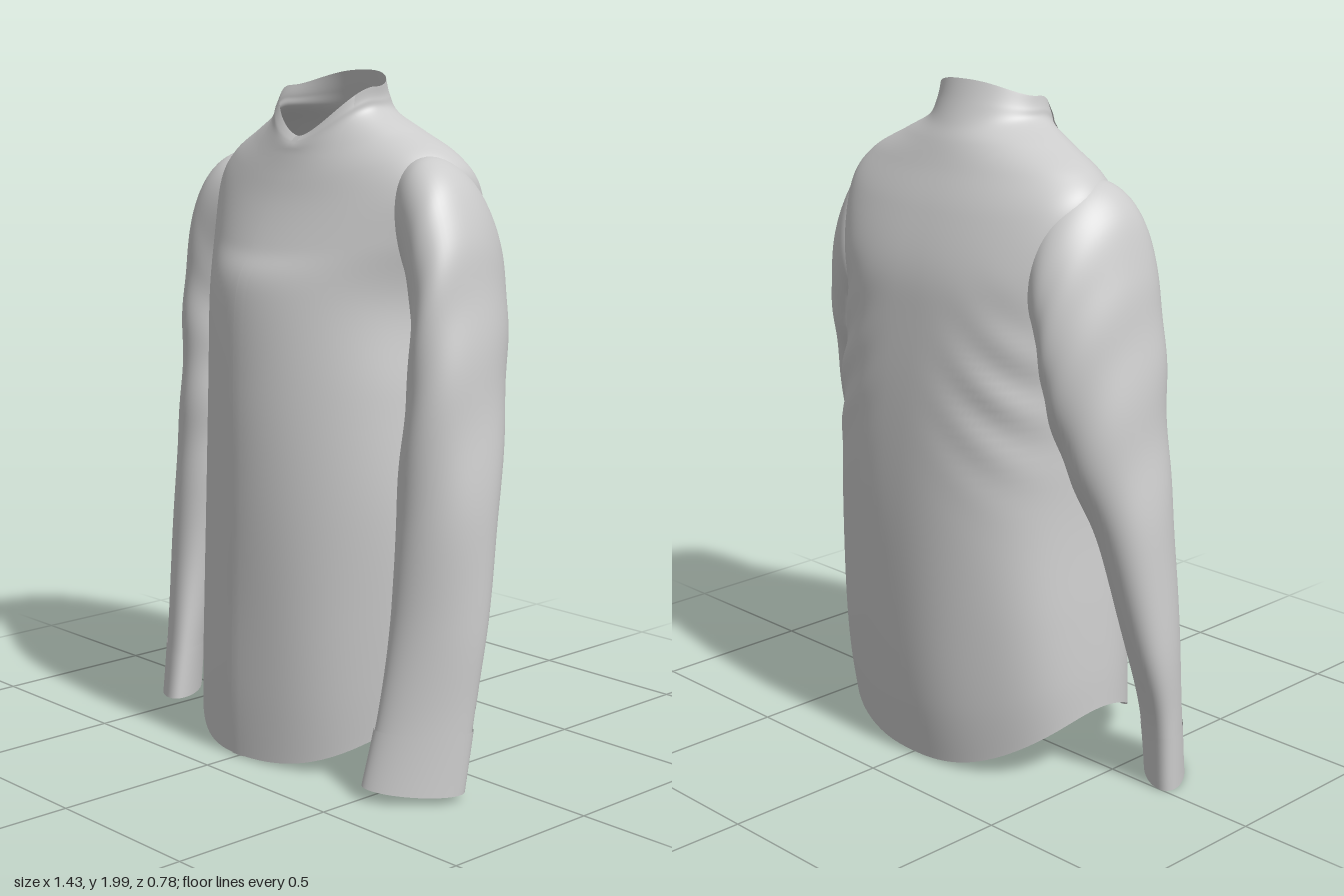
import * as THREE from 'three';

const cloth = new THREE.MeshStandardMaterial({ color: 0xcccccc, side: THREE.DoubleSide });
const bell = (x, c, w) => Math.exp(-(((x - c) / w) ** 2));

// Smooth blend through a list of cross-section rows, v from 0 (first) to 1 (last)
function rowAt(rows, v) {
  const n = rows.length - 1, f = v * n, i = Math.min(Math.floor(f), n - 1), t = f - i;
  const at = k => rows[Math.min(Math.max(k, 0), n)];
  return rows[i].map((p1, k) => {
    const p0 = at(i - 1)[k], p2 = at(i + 1)[k], p3 = at(i + 2)[k];
    return p1 + 0.5 * t * (p2 - p0 + t * (2 * p0 - 5 * p1 + 4 * p2 - p3 + t * (3 * (p1 - p2) + p3 - p0)));
  });
}

// Mesh over a surface function (angle, v); v0 may depend on the angle
function sheet(name, point, { a0 = 0, a1 = Math.PI * 2, v0 = () => 0, v1 = 1, nu = 128, nv = 120 } = {}) {
  const closed = a1 - a0 > 6.28, cols = closed ? nu : nu + 1;
  const pos = [], index = [];
  for (let j = 0; j <= nv; j++) {
    for (let i = 0; i < cols; i++) {
      const a = a0 + (a1 - a0) * i / nu, s = v0(a);
      pos.push(...point(a, s + (v1 - s) * j / nv));
    }
  }
  for (let j = 0; j < nv; j++) {
    for (let i = 0; i < nu; i++) {
      const a = j * cols + i, b = j * cols + (i + 1) % cols, c = a + cols, d = b + cols;
      index.push(a, c, b, b, c, d);
    }
  }
  const g = new THREE.BufferGeometry();
  g.setAttribute('position', new THREE.Float32BufferAttribute(pos, 3));
  g.setIndex(index);
  g.computeVertexNormals();
  const mesh = new THREE.Mesh(g, cloth);
  mesh.name = name;
  return mesh;
}

// Torso rows, hem to collar: y front, y side, y back, x right, x left, z front, z back, z side,
// curve of the front rim (1 = pointed, high = flat), roundness of the back (1 = ellipse, less = squarer)
const torsoRows = [
  [0.015, 0.20, 0.015, -0.465, 0.48, 0.385, -0.34, 0, 3.2, 0.9],
  [0.20, 0.32, 0.20, -0.46, 0.483, 0.39, -0.365, 0, 3, 0.88],
  [0.45, 0.50, 0.45, -0.445, 0.48, 0.39, -0.38, 0, 2, 0.86],
  [0.80, 0.80, 0.80, -0.415, 0.465, 0.39, -0.39, 0, 2, 0.83],
  [1.10, 1.10, 1.10, -0.405, 0.44, 0.38, -0.38, -0.02, 2, 0.78],
  [1.38, 1.35, 1.35, -0.42, 0.42, 0.35, -0.355, -0.04, 2, 0.74],
  [1.50, 1.55, 1.50, -0.45, 0.46, 0.29, -0.33, -0.04, 2, 0.76],
  [1.62, 1.69, 1.65, -0.46, 0.48, 0.235, -0.275, -0.04, 2, 0.85],
  [1.70, 1.77, 1.76, -0.40, 0.43, 0.205, -0.22, -0.03, 2, 0.95],
  [1.76, 1.835, 1.83, -0.28, 0.31, 0.185, -0.185, -0.01, 2, 1],
  [1.785, 1.885, 1.88, -0.18, 0.22, 0.178, -0.155, 0.02, 1.8, 1],
  [1.80, 1.92, 1.94, -0.16, 0.205, 0.17, -0.125, 0.03, 1.7, 1],
  [1.815, 1.955, 2.0, -0.15, 0.205, 0.16, -0.10, 0.03, 1.6, 1],
];

function torsoPoint(a, v, lift = 0) {
  const [yF, yS, yB, xR, xL, zF, zB, zM, rim, round] = rowAt(torsoRows, v);
  const c = Math.cos(a), s = Math.sin(a), front = s > 0;
  const e = front ? 1 + 0.12 * bell(v, 0.1, 0.35) : round;
  const px = Math.sign(c) * Math.abs(c) ** e, pz = Math.sign(s) * Math.abs(s) ** e;
  const w = 1 - Math.abs(c) ** (front ? rim : 2.5);
  const y = yS + ((front ? yF : yB) - yS) * w;
  const x = (xR + xL) / 2 + px * (xL - xR) / 2;
  const z = zM + pz * (front ? zF - zM : zM - zB);
  // Soft hanging folds below, drag folds sweeping down to the underarms at the back
  const hang = 0.004 * Math.sin(7 * a + 1) * bell(y, 0.3, 0.4);
  const side = Math.abs(x);
  const drag = front ? 0 : -0.01 * s * Math.sin(36 * (y + 0.9 * side)) * bell(side, 0.36, 0.14) * bell(y, 1.15, 0.2);
  const out = lift + hang + drag;
  return [x + c * out, y, z + s * out];
}

// Sleeve rows, shoulder to cuff: outer x, y, inner x, y, z front, z back
const leftRows = [
  [0.30, 1.75, 0.32, 1.36, 0.08, -0.19],
  [0.43, 1.765, 0.38, 1.31, 0.145, -0.23],
  [0.535, 1.695, 0.405, 1.25, 0.18, -0.22],
  [0.605, 1.55, 0.42, 1.17, 0.20, -0.20],
  [0.645, 1.35, 0.43, 1.08, 0.22, -0.165],
  [0.68, 1.10, 0.44, 0.95, 0.235, -0.10],
  [0.71, 0.80, 0.465, 0.75, 0.25, -0.015],
  [0.715, 0.50, 0.49, 0.50, 0.27, 0.05],
  [0.705, 0.25, 0.495, 0.25, 0.31, 0.10],
  [0.70, 0.03, 0.49, 0.05, 0.36, 0.14],
].reverse();
const rightRows = [
  [0.29, 1.74, 0.32, 1.36, 0.07, -0.20],
  [0.42, 1.75, 0.38, 1.31, 0.115, -0.25],
  [0.515, 1.665, 0.395, 1.25, 0.13, -0.26],
  [0.57, 1.50, 0.405, 1.17, 0.13, -0.26],
  [0.61, 1.30, 0.41, 1.06, 0.13, -0.24],
  [0.645, 1.05, 0.425, 0.92, 0.13, -0.20],
  [0.685, 0.78, 0.46, 0.74, 0.14, -0.14],
  [0.715, 0.45, 0.50, 0.45, 0.155, -0.08],
  [0.712, 0.22, 0.51, 0.22, 0.18, -0.02],
  [0.71, 0.01, 0.51, 0.02, 0.21, 0.0],
].reverse();

function sleevePoint(rows, side, a, v, lift = 0) {
  const [xo, yo, xi, yi, zF, zB] = rowAt(rows, v);
  // Upper arm is fuller at the outer front, the cuff flattens the other way
  const turn = 0.75 - 1.1 * THREE.MathUtils.smoothstep(v, 0, 0.7);
  const c = Math.cos(a), s = Math.sin(a * side - turn * side);
  // Mirrored angle keeps the winding outward on both arms
  const z = side * Math.sin(a - turn);
  // Slight creases around the elbow
  const out = lift + 0.003 * Math.sin(40 * v + 2 * a) * bell(v, 0.5, 0.2);
  const depth = side > 0 ? s : Math.sin(-a - turn);
  return [
    side * ((xo + xi) / 2 + c * ((xo - xi) / 2 + out)),
    (yo + yi) / 2 + c * (yo - yi) / 2,
    (zF + zB) / 2 + (side > 0 ? z : depth) * ((zF - zB) / 2 + out),
  ];
}

export function createModel() {
  const shirt = new THREE.Group();
  shirt.name = 'shirt';
  const front = Math.PI / 2;

  shirt.add(sheet('torso', (a, v) => torsoPoint(a, v)));

  // Button strip down the front
  shirt.add(sheet('placket', (a, v) => torsoPoint(a, v, 0.003),
    { a0: front - 0.06, a1: front + 0.08, v1: 0.8, nu: 6, nv: 80 }));

  // Collar points lying on the chest
  for (const [name, a0, a1] of [['collarLeft', front - 1.1, front - 0.06], ['collarRight', front + 0.06, front + 1.1]]) {
    const drop = a => 0.84 - 0.12 * bell(Math.abs(a - front), 0.45, 0.3);
    shirt.add(sheet(name, (a, v) => torsoPoint(a, v, 0.004 * Math.min(1, (1 - v) * 12)),
      { a0, a1, v0: drop, nu: 32, nv: 16 }));
  }

  // Sleeves with cuffs
  for (const [name, rows, side] of [['left', leftRows, 1], ['right', rightRows, -1]]) {
    shirt.add(sheet(name + 'Sleeve', (a, v) => sleevePoint(rows, side, a, v), { nu: 64, nv: 80 }));
    shirt.add(sheet(name + 'Cuff', (a, v) => sleevePoint(rows, side, a, v, 0.003), { v1: 0.09, nu: 64, nv: 8 }));
  }
  return shirt;
}
